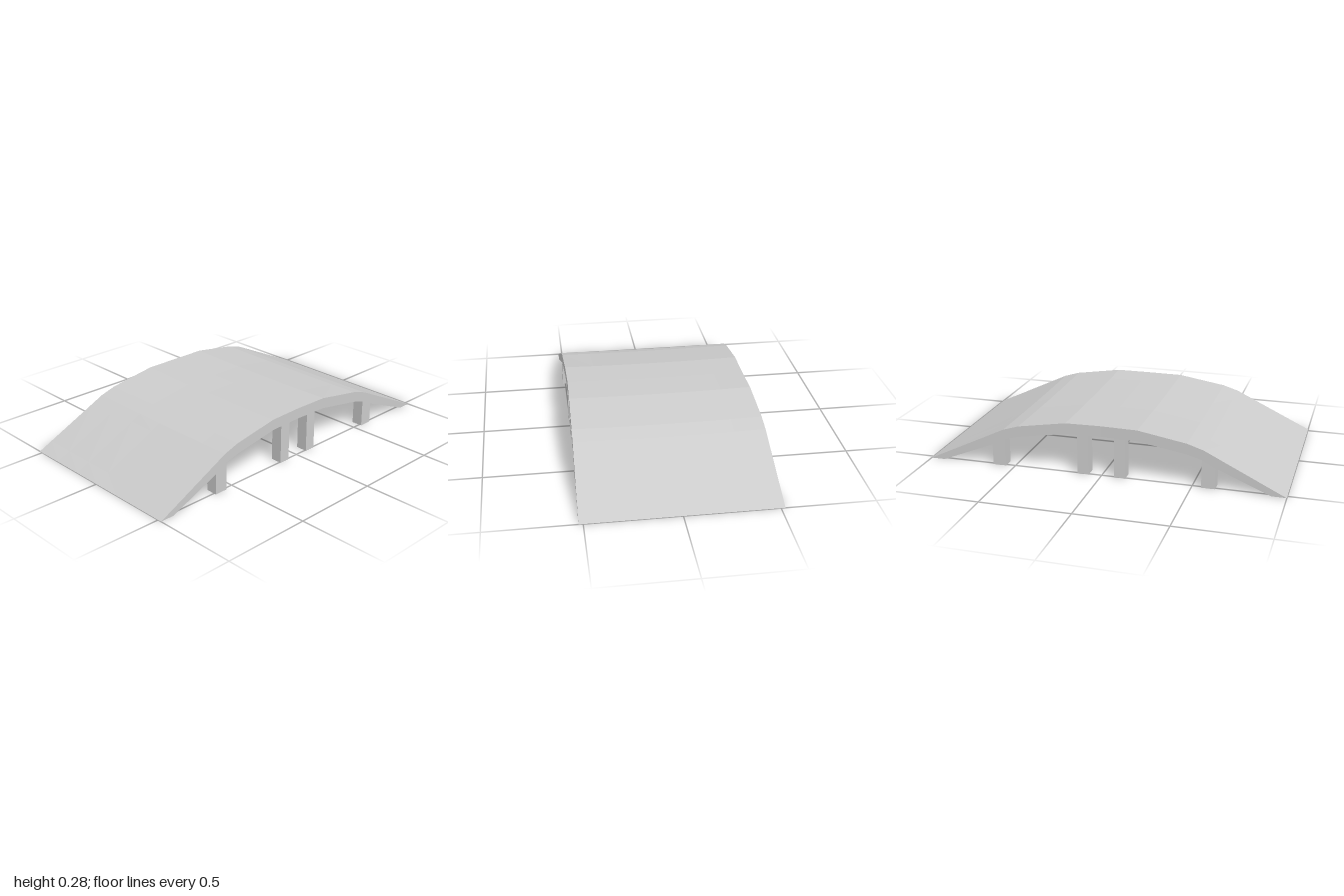
import * as THREE from 'three';

const material = new THREE.MeshStandardMaterial({
  color: 0xcccccc, flatShading: true, side: THREE.DoubleSide,
});

// Half the span, from ramp tip to mid-span: [x, roadway height, lower edge of the side beam]
const HALF = [
  [1, 0, 0], [0.92, 0.038, 0], [0.62, 0.182, 0.121], [0.56, 0.211, 0.154],
  [0.47, 0.239, 0.178], [0.2, 0.283, 0.222], [0, 0.285, 0.224],
];
const STATIONS = [
  ...HALF.map(([x, top, low]) => [-x, top, low]),
  ...HALF.slice(0, -1).reverse(),
];
const SHEET = 0.004; // roadway thickness
const BEAM = 0.012; // side beam thickness

// The deck is slightly waisted at mid-span
const halfWidth = (x) => 0.507 + 0.016 * Math.abs(x);

// Cross-section at one station: a thin sagging roadway with a beam hanging from each edge
function section([x, top, low]) {
  const w = halfWidth(x), inner = w - BEAM;
  const roadway = [-1, -0.67, -0.33, 0, 0.33, 0.67, 1];
  const height = (t) => top * (1 - 0.022 * (1 - t * t));
  return [
    ...roadway.map((t) => [x, height(t), t * w]),
    [x, low, w], [x, low, inner],
    ...roadway.slice().reverse().map((t) => [x, Math.max(Math.min(low, height(t)), height(t) - SHEET), t * inner]),
    [x, low, -inner], [x, low, -w],
  ];
}

function createDeck() {
  const loops = STATIONS.map(section);
  const n = loops[0].length;
  const index = [];
  for (let i = 0; i < loops.length - 1; i++) {
    for (let j = 0; j < n; j++) {
      const a = i * n + j, b = i * n + (j + 1) % n;
      index.push(a, b, a + n, b, b + n, a + n);
    }
  }
  const geometry = new THREE.BufferGeometry();
  geometry.setAttribute('position', new THREE.Float32BufferAttribute(loops.flat(2), 3));
  geometry.setIndex(index);
  const flat = geometry.toNonIndexed();
  flat.computeVertexNormals();
  const deck = new THREE.Mesh(flat, material);
  deck.name = 'archedDeck';
  return deck;
}

function createPost(name, x, width, height, side) {
  const depth = 0.065;
  const post = new THREE.Mesh(new THREE.BoxGeometry(width, height, depth), material);
  post.name = name;
  post.position.set(x, height / 2, side * (halfWidth(x) - depth / 2 - 0.002));
  return post;
}

export function createModel() {
  const model = new THREE.Group();
  model.name = 'archedBridge';
  model.add(createDeck());

  // Four posts along each edge, running up behind the side beams
  for (const z of [1, -1]) {
    for (const x of [1, -1]) {
      model.add(createPost('outerPost', x * 0.588, 0.075, 0.175, z));
      model.add(createPost('innerPost', x * 0.103, 0.064, 0.272, z));
    }
  }
  return model;
}
